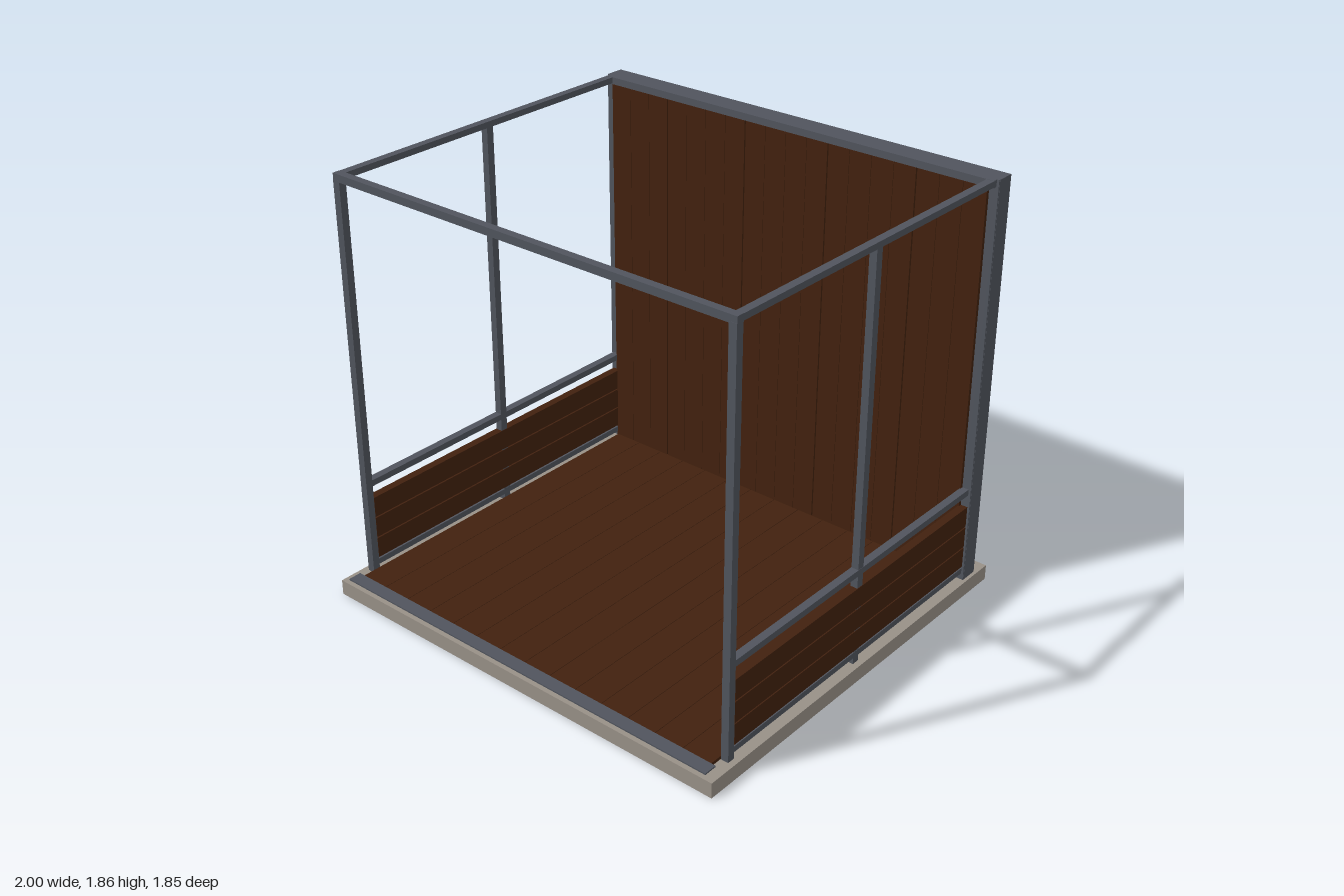
import * as THREE from 'three';

export function createModel() {
  const model = new THREE.Group();
  model.name = 'terracePavilion';

  const mat = (name, color) => {
    const m = new THREE.MeshStandardMaterial({ color });
    m.name = name;
    return m;
  };
  const metal = mat('slate metal', 0x50545d);
  const wood = mat('dark wood', 0x42210e);
  const stone = mat('stone slab', 0x989087);

  // Box given by its limits on each axis
  const box = (name, material, [x0, x1], [y0, y1], [z0, z1], parent = model) => {
    const mesh = new THREE.Mesh(new THREE.BoxGeometry(x1 - x0, y1 - y0, z1 - z0), material);
    mesh.position.set((x0 + x1) / 2, (y0 + y1) / 2, (z0 + z1) / 2);
    mesh.name = name;
    parent.add(mesh);
    return mesh;
  };
  const group = (name) => {
    const g = new THREE.Group();
    g.name = name;
    model.add(g);
    return g;
  };

  const ground = 0.068, top = 1.856;

  // Foundation
  box('slab', stone, [-1, 1], [0, ground], [-0.925, 0.925]);

  // Deck: boards running front to back over a thin underlay
  const deck = group('deck');
  box('deckUnderlay', wood, [-0.938, 0.938], [ground, 0.078], [-0.864, 0.864], deck);
  const deckWidth = 1.88 / 14;
  for (let i = 0; i < 14; i++) {
    const x = -0.94 + i * deckWidth;
    box('deckBoard', wood, [x + 0.001, x + deckWidth - 0.001], [ground, 0.082], [-0.865, 0.865], deck);
  }
  box('deckEdgeTrim', metal, [-0.962, 0.962], [0.08, 0.086], [0.856, 0.915], deck);

  // Back wall: metal panel clad inside with vertical boards in sets of four
  const wall = group('backWall');
  box('wallPanel', metal, [-0.985, 0.985], [ground, top], [-0.85, -0.771], wall);
  const wallWidth = 1.89 / 18;
  for (let i = 0; i < 18; i++) {
    const x = -0.945 + i * wallWidth;
    const wideLeft = i % 4 === 3 ? 0.003 : 0.001;
    const wideRight = i % 4 === 2 ? 0.003 : 0.001;
    box('wallBoard', wood, [x + wideLeft, x + wallWidth - wideRight], [ground, 1.825], [-0.771, -0.75], wall);
    // Narrow wooden tongue behind the tight joints
    if (i % 4 !== 2 && i < 17) {
      const e = x + wallWidth;
      box('wallBoardTongue', wood, [e - 0.002, e + 0.002], [ground, 1.825], [-0.771, -0.76], wall);
    }
  }
  box('wallTopRail', metal, [-0.973, 0.973], [1.825, top], [-0.78, -0.745], wall);

  // Front beam
  box('frontBeam', metal, [-0.974, 0.974], [1.824, top], [0.764, 0.798]);

  // Sides: posts, rails and low plank screens
  for (const side of [-1, 1]) {
    const g = group(side > 0 ? 'leftSide' : 'rightSide');
    const span = (a, b) => (side > 0 ? [a, b] : [-b, -a]);
    const x = span(0.94, 0.974);
    box('frontPost', metal, x, [ground, 1.83], [0.766, 0.799], g);
    box('middlePost', metal, span(0.941, 0.973), [ground, 1.83], [-0.017, 0.017], g);
    box('backPost', metal, span(0.943, 0.984), [ground, top], [-0.78, -0.765], g);
    box('topRail', metal, x, [1.829, top - 0.001], [-0.775, 0.766], g);
    box('handRail', metal, x, [0.478, 0.506], [-0.775, 0.768], g);
    box('bottomRail', metal, x, [0.097, 0.123], [-0.775, 0.768], g);
    for (let i = 0; i < 3; i++) {
      const y = 0.131 + i * 0.099;
      box('screenPlank', wood, span(0.939, 0.975), [y, y + 0.093], [-0.765, 0.766], g);
    }
  }

  return model;
}
